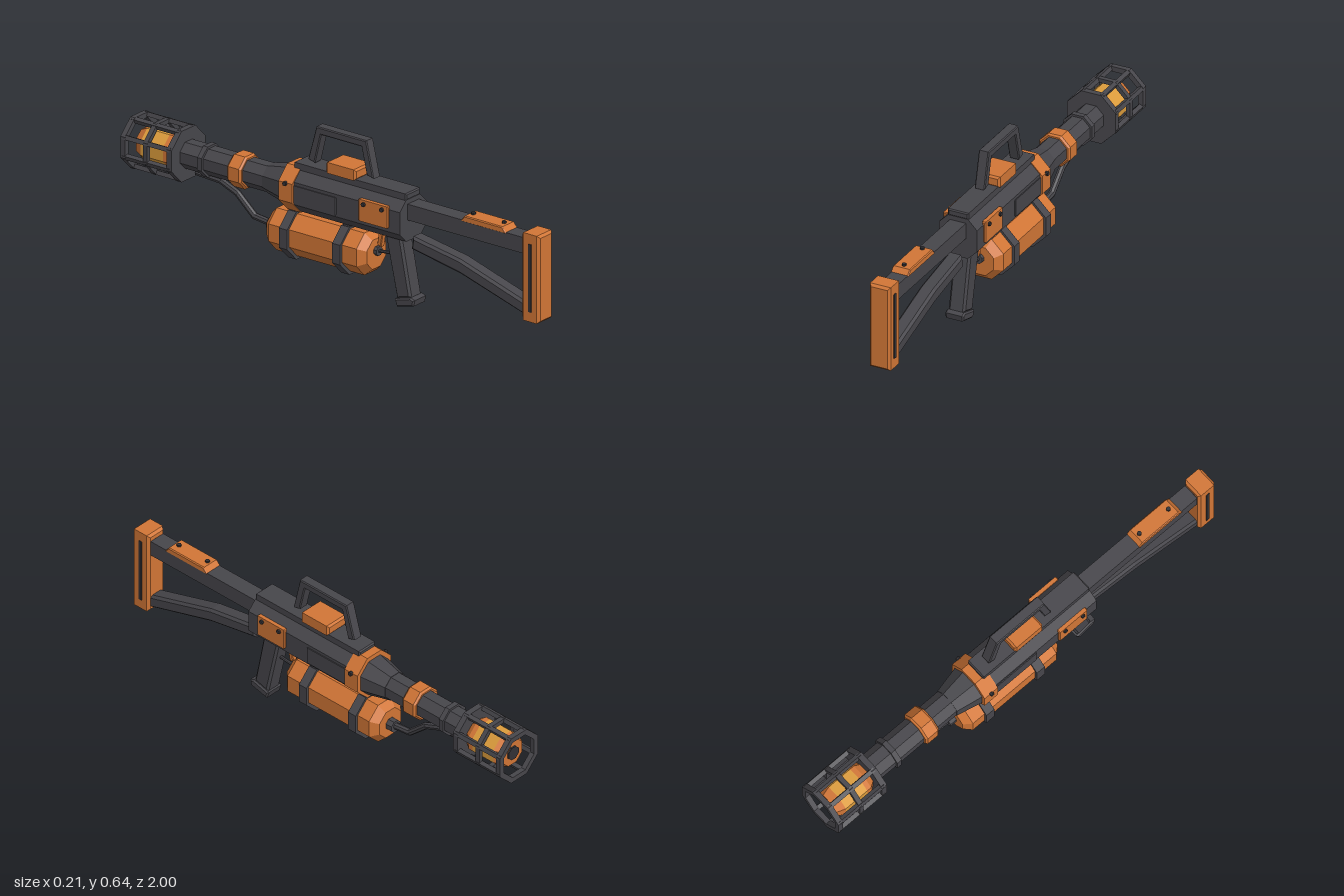
import * as THREE from 'three';

const mat = (name, color) => {
  const m = new THREE.MeshStandardMaterial({ color });
  m.name = name;
  return m;
};

export function createModel() {
  const dark = mat('gunmetal', 0x47464b);
  const black = mat('black', 0x323135);
  const orange = mat('orange', 0xd27636);
  const amber = mat('amber', 0xdc9c3c);
  const model = new THREE.Group();
  const AXIS = 0.365; // barrel height
  const TANK = 0.175; // tank height

  // Adds a faceted mesh
  const add = (name, geo, material, x = 0, y = 0, z = 0) => {
    const g = geo.index ? geo.toNonIndexed() : geo;
    g.computeVertexNormals();
    const mesh = new THREE.Mesh(g, material);
    mesh.name = name;
    mesh.position.set(x, y, z);
    model.add(mesh);
    return mesh;
  };

  // Chamfered box from its size
  const box = (w, h, d, b = 0.006) => {
    const s = new THREE.Shape();
    const x = w / 2 - b, y = h / 2 - b;
    s.moveTo(-x, -y).lineTo(x, -y).lineTo(x, y).lineTo(-x, y).closePath();
    return new THREE.ExtrudeGeometry(s, {
      depth: d - 2 * b, bevelThickness: b, bevelSize: b, bevelSegments: 1,
    }).translate(0, 0, b - d / 2);
  };

  // Side outline given as [z, y], extruded across x with chamfered edges
  const side = (pts, w, b = 0.006) => {
    const s = new THREE.Shape(pts.map(([z, y]) => new THREE.Vector2(-z, y)));
    return new THREE.ExtrudeGeometry(s, {
      depth: w - 2 * b, bevelThickness: b, bevelSize: b, bevelOffset: -b, bevelSegments: 1,
    }).translate(0, 0, b - w / 2).rotateY(Math.PI / 2);
  };

  // Octagonal frustum along z, flats on the axes: z and half width at each end
  const K = Math.cos(Math.PI / 8);
  const oct = (name, material, y, z0, a0, z1, a1 = a0) =>
    add(name, new THREE.CylinderGeometry(a0 / K, a1 / K, z0 - z1, 8)
      .rotateY(Math.PI / 8).rotateX(Math.PI / 2), material, 0, y, (z0 + z1) / 2);

  // Octagonal ring along z
  const octRing = (name, material, y, z0, z1, outer, inner) => {
    const points = (a) => Array.from({ length: 8 }, (_, i) => {
      const t = (i + 0.5) * Math.PI / 4;
      return new THREE.Vector2(Math.cos(t) * a / K, Math.sin(t) * a / K);
    });
    const s = new THREE.Shape(points(outer));
    s.holes.push(new THREE.Path(points(inner)));
    return add(name, new THREE.ExtrudeGeometry(s, { depth: z0 - z1, bevelEnabled: false }), material, 0, y, z1);
  };

  // Straight pipe pieces through [z, y] points
  const pipe = (name, pts, r) => {
    for (let i = 1; i < pts.length; i++) {
      const a = new THREE.Vector3(0, pts[i - 1][1], pts[i - 1][0]);
      const b = new THREE.Vector3(0, pts[i][1], pts[i][0]);
      const d = b.clone().sub(a);
      const m = add(name, new THREE.CylinderGeometry(r, r, d.length() + r * 0.6, 8), dark);
      m.position.copy(a).add(b).multiplyScalar(0.5);
      m.quaternion.setFromUnitVectors(new THREE.Vector3(0, 1, 0), d.normalize());
    }
  };

  // Receiver body
  const body = new THREE.Shape();
  const w = 0.083, h = 0.086, c = 0.04;
  body.moveTo(w, h - c).lineTo(w - c, h).lineTo(c - w, h).lineTo(-w, h - c)
    .lineTo(-w, c - h).lineTo(c - w, -h).lineTo(w - c, -h).lineTo(w, c - h).closePath();
  add('receiver', new THREE.ExtrudeGeometry(body, { depth: 0.54, bevelEnabled: false }), dark, 0, 0.368, -0.19);
  add('topRail', box(0.09, 0.028, 0.55, 0.005), dark, 0, 0.465, 0.075);
  add('topBlock', box(0.102, 0.045, 0.145, 0.008), orange, 0, 0.4975, 0.033);

  // Carry handle
  add('carryHandle', side([[0.172, 0.49], [0.137, 0.64], [-0.108, 0.64], [-0.149, 0.495],
    [-0.116, 0.487], [-0.085, 0.61], [0.112, 0.61], [0.138, 0.498]], 0.044, 0.004), dark);

  // Side plates and rivets, mirrored
  for (const s of [1, -1]) {
    const rivet = (x, y, z) =>
      add('rivet', new THREE.CylinderGeometry(0.009, 0.009, 0.012, 8).rotateZ(Math.PI / 2), black, s * x, y, z);
    add('sidePlate', box(0.016, 0.09, 0.145, 0.004), orange, s * 0.084, 0.382, 0.225);
    add('sidePanel', box(0.01, 0.072, 0.22, 0.003), dark, s * 0.082, 0.365, -0.07);
    rivet(0.094, 0.41, 0.18);
    rivet(0.094, 0.41, 0.27);
    rivet(0.097, 0.405, -0.202);
    add('buttSlot', box(0.008, 0.28, 0.018, 0.002), black, s * 0.044, 0.28, 0.957);
  }

  // Barrel, along z from the receiver to the muzzle
  oct('collar', orange, AXIS + 0.004, -0.168, 0.094, -0.236);
  oct('barrelCone', dark, AXIS, -0.23, 0.08, -0.345, 0.056);
  oct('barrel', dark, AXIS, -0.34, 0.054, -0.76);
  oct('barrelRing', orange, AXIS, -0.452, 0.067, -0.504);
  oct('barrelRingEdge', orange, AXIS, -0.444, 0.06, -0.452, 0.067);
  oct('barrelRingEdge', orange, AXIS, -0.504, 0.067, -0.512, 0.06);
  oct('barrelBand', dark, AXIS, -0.636, 0.063, -0.658);

  // Muzzle cage
  oct('cageBack', dark, AXIS, -0.75, 0.105, -0.775);
  octRing('cageMiddleRing', dark, AXIS, -0.87, -0.89, 0.105, 0.087);
  octRing('cageFrontRing', dark, AXIS, -0.978, -1, 0.106, 0.084);
  for (let i = 0; i < 8; i++) {
    const t = (i + 0.5) * Math.PI / 4, r = 0.103;
    const bar = add('cageBar', new THREE.BoxGeometry(0.018, 0.018, 0.235), dark,
      Math.cos(t) * r, AXIS + Math.sin(t) * r, -0.877);
    bar.rotation.z = t;
  }

  // Muzzle core
  oct('coreRear', orange, AXIS, -0.77, 0.05, -0.8, 0.07);
  oct('coreRear', orange, AXIS, -0.8, 0.07, -0.82);
  oct('coreMiddle', amber, AXIS, -0.82, 0.07, -0.93);
  oct('coreFront', orange, AXIS, -0.93, 0.07, -0.965, 0.055);
  oct('nozzle', black, AXIS, -0.96, 0.028, -0.972);

  // Fuel tank
  oct('tank', orange, TANK + 0.003, 0.14, 0.087, -0.29);
  oct('tankRearEnd', orange, TANK + 0.003, 0.17, 0.06, 0.14, 0.087);
  oct('tankFrontEnd', orange, TANK + 0.003, -0.29, 0.087, -0.32, 0.06);
  for (const z of [0.05, -0.21]) {
    oct('tankBand', dark, TANK, z + 0.02, 0.098, z - 0.02);
    add('bandMount', box(0.08, 0.05, 0.036), dark, 0, 0.275, z);
  }
  oct('tankValve', dark, TANK, -0.31, 0.025, -0.35);
  oct('rearValve', dark, 0.19, 0.185, 0.018, 0.165);
  pipe('fuelPipe', [[-0.34, 0.177], [-0.425, 0.187], [-0.51, 0.262], [-0.59, 0.294], [-0.705, 0.3]], 0.014);
  pipe('rearPipe', [[0.17, 0.19], [0.27, 0.2]], 0.007);

  // Grip and trigger
  add('grip', side([[0.315, 0.3], [0.235, 0.3], [0.295, 0.03], [0.365, 0.05]], 0.072, 0.009), dark);
  add('gripBase', side([[0.385, 0.045], [0.38, 0.02], [0.298, 0], [0.287, 0.03], [0.365, 0.052]], 0.08, 0.006), dark);
  add('trigger', side([[0.212, 0.285], [0.19, 0.285], [0.182, 0.22], [0.2, 0.213]], 0.024, 0.003), orange);

  // Stock
  add('stockTube', box(0.07, 0.066, 0.58, 0.008), dark, 0, 0.402, 0.63);
  add('stockStrut', side([[0.925, 0.112], [0.925, 0.168], [0.6, 0.266], [0.37, 0.304],
    [0.362, 0.25], [0.6, 0.207]], 0.066, 0.01), dark);
  add('buttPlate', box(0.09, 0.362, 0.086, 0.01), orange, 0, 0.28, 0.957);
  add('cheekPad', side([[0.835, 0.43], [0.815, 0.455], [0.63, 0.455], [0.61, 0.43]], 0.076, 0.004), orange);
  for (const z of [0.645, 0.795]) {
    add('padRivet', new THREE.CylinderGeometry(0.009, 0.009, 0.012, 8), black, 0, 0.457, z);
  }

  return model;
}
